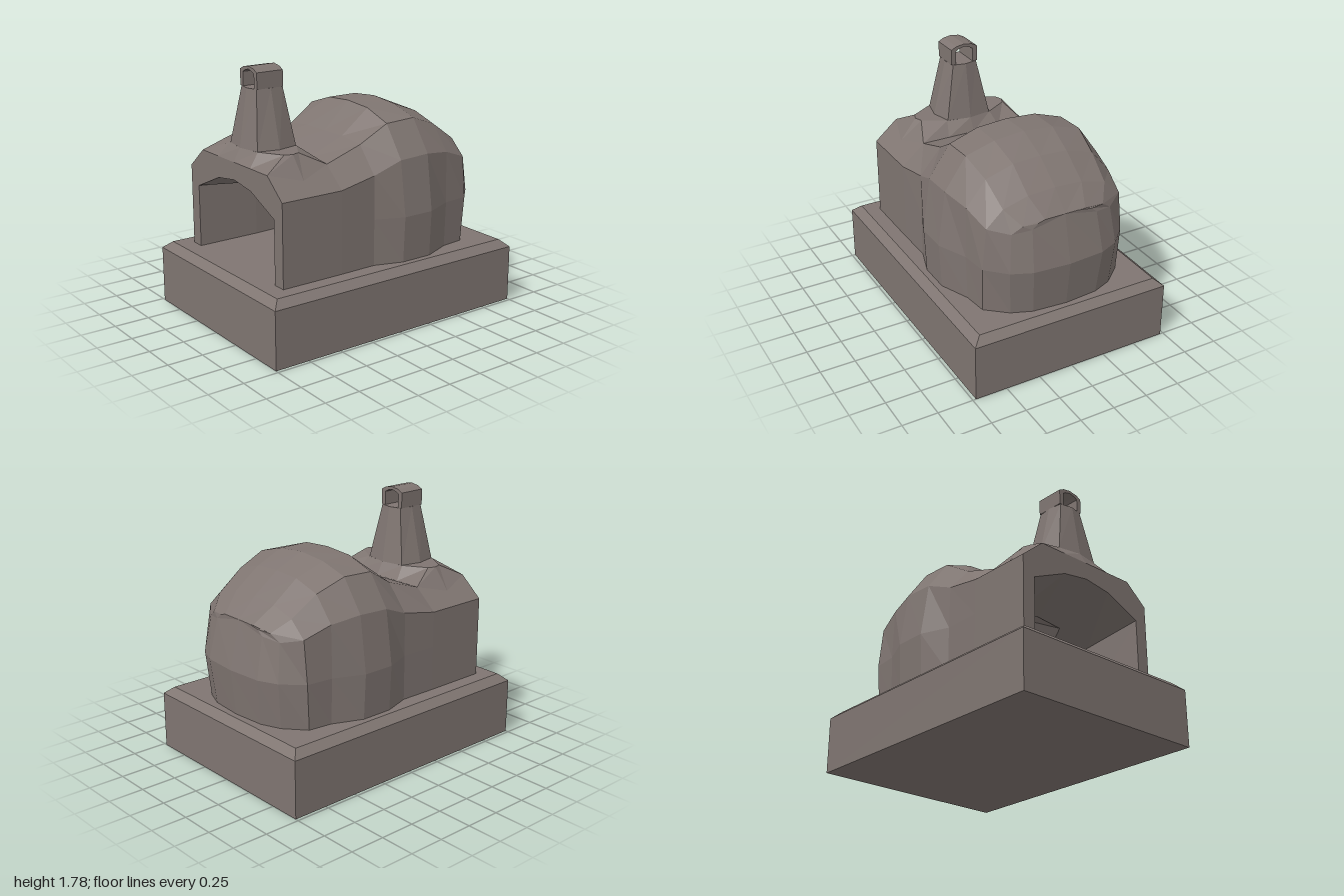
import * as THREE from 'three';

const clay = new THREE.MeshStandardMaterial({ color: 0x7f7571, side: THREE.DoubleSide });
clay.name = 'clay';

// Faceted skin through rows of [x, y, z] points; flip turns it inward
function loft(rows, flip = false) {
  const pos = [];
  for (let i = 0; i < rows.length - 1; i++) {
    for (let j = 0; j < rows[i].length - 1; j++) {
      const a = rows[i][j], b = rows[i][j + 1], c = rows[i + 1][j], d = rows[i + 1][j + 1];
      const tris = flip ? [a, b, c, b, d, c] : [a, c, b, b, c, d];
      tris.forEach((p) => pos.push(...p));
    }
  }
  const g = new THREE.BufferGeometry();
  g.setAttribute('position', new THREE.Float32BufferAttribute(pos, 3));
  g.computeVertexNormals();
  return g;
}

// Half arch (x >= 0, foot to crown) mirrored to a full arch
const mirrorX = (half) => [...half, ...half.slice(0, -1).reverse().map(([x, ...r]) => [-x, ...r])];
const archAt = (z, half) => mirrorX(half.map(([x, y, pz = z]) => [x, y, pz]));

// Quarter ring (from +x to +z) mirrored to a closed ring about z = 0.6
function ring(quarter) {
  const front = mirrorX(quarter);
  const back = front.slice(0, -1).reverse().map(([x, y, z]) => [x, y, -z]);
  return [...front, ...back].map(([x, y, z]) => [x, y, z + 0.6]);
}
const centre = (y, n) => ring(Array.from({ length: n }, () => [0, y, 0]));

function polygon(points) {
  return points.map(([x, y]) => new THREE.Vector2(x, y));
}

export function createModel() {
  const group = new THREE.Group();
  const add = (name, geometry) => {
    const mesh = new THREE.Mesh(geometry, clay);
    mesh.name = name;
    group.add(mesh);
    return mesh;
  };

  // Plinth with a bevelled top
  add('plinth', new THREE.BoxGeometry(1.455, 0.4, 2)).position.y = 0.2;
  const bevel = new THREE.BoxGeometry(1.455, 0.05, 2);
  const bp = bevel.attributes.position;
  for (let i = 0; i < bp.count; i++) {
    if (bp.getY(i) > 0) {
      bp.setX(i, Math.sign(bp.getX(i)) * 0.668);
      bp.setZ(i, Math.sign(bp.getZ(i)) * 0.945);
    }
  }
  bevel.computeVertexNormals();
  add('plinthBevel', bevel).position.y = 0.425;

  // Outer skin: straight porch swelling into a rounded dome
  const porch = [[0.565, 0.45], [0.565, 0.77], [0.565, 1.02], [0.4, 1.16], [0.2, 1.16], [0, 1.16]];
  add('ovenShell', loft([
    archAt(0.83, porch),
    archAt(0.37, porch),
    archAt(0.1, [[0.56, 0.45], [0.56, 0.77], [0.555, 1.07], [0.4, 1.25], [0.2, 1.27], [0, 1.27]]),
    archAt(-0.1, [[0.625, 0.45], [0.64, 0.77], [0.585, 1.15], [0.43, 1.37], [0.22, 1.44], [0, 1.455]]),
    archAt(-0.33, [[0.625, 0.45], [0.64, 0.77], [0.585, 1.16], [0.43, 1.38], [0.22, 1.44], [0, 1.46]]),
    archAt(-0.54, [[0.54, 0.45], [0.55, 0.77], [0.54, 1.13], [0.4, 1.3], [0.2, 1.36], [0, 1.37]]),
    archAt(-0.73, [[0.52, 0.45, -0.71], [0.53, 0.77], [0.5, 1.06], [0.38, 1.17], [0.2, 1.22], [0, 1.23]]),
    archAt(-0.86, [[0.38, 0.45, -0.83], [0.4, 0.77], [0.37, 1.03, -0.82], [0.3, 1.08, -0.84], [0.15, 1.1], [0, 1.1]]),
    archAt(-0.86, [[0.24, 0.45, -0.885], [0.26, 0.77, -0.92], [0.24, 1.05], [0.2, 1.085], [0.1, 1.1], [0, 1.1]]),
    archAt(-0.86, [[0, 0.45, -0.905], [0, 0.77, -0.94], [0, 1.1], [0, 1.1], [0, 1.1], [0, 1.1]]),
  ]));

  // Hollow inside
  const mouth = [[0.47, 0.45], [0.47, 0.89], [0.2, 1.01], [0, 1.04]];
  const chamber = [[0.49, 0.45], [0.49, 0.88], [0.3, 1.18], [0, 1.28]];
  add('ovenChamber', loft([
    archAt(0.83, mouth),
    archAt(0.37, [[0.47, 0.45], [0.47, 0.84], [0.2, 0.91], [0, 0.93]]),
    archAt(-0.1, chamber),
    archAt(-0.33, chamber),
    archAt(-0.54, [[0.39, 0.45], [0.39, 0.82], [0.22, 1.08], [0, 1.16]]),
    archAt(-0.72, [[0.25, 0.45], [0.25, 0.81], [0.15, 0.96], [0, 1.02]]),
    archAt(-0.78, [[0, 0.45], [0, 0.81], [0, 0.96, -0.76], [0, 1.02, -0.72]]),
  ], true));

  // Front wall around the mouth
  const wall = new THREE.Shape(polygon([...mirrorX(porch), ...mirrorX(mouth).reverse()]));
  add('frontWall', new THREE.ShapeGeometry(wall)).position.z = 0.83;

  // Raised collar under the chimney
  add('chimneyCollar', loft([
    ring([[0.47, 1.1, 0], [0.4, 1.16, 0.23], [0.2, 1.16, 0.23], [0, 1.16, 0.23]]),
    ring([[0.35, 1.25, 0], [0.33, 1.25, 0.055], [0.17, 1.25, 0.15], [0, 1.25, 0.18]]),
    centre(1.25, 4),
  ]));

  // Tapering chimney
  add('chimney', loft([
    ring([[0.2, 1.25, 0], [0.165, 1.25, 0.15], [0, 1.25, 0.18]]),
    ring([[0.105, 1.64, 0], [0.09, 1.64, 0.1], [0, 1.64, 0.12]]),
    centre(1.64, 3),
  ]));

  // Arched hood, open front to back
  const hood = new THREE.Shape(polygon([
    ...mirrorX([[0.1, 1.64], [0.1, 1.75], [0.06, 1.77], [0, 1.78]]),
    ...mirrorX([[0.065, 1.64], [0.065, 1.735], [0.04, 1.75], [0, 1.76]]).reverse(),
  ]));
  const hoodGeo = new THREE.ExtrudeGeometry(hood, { depth: 0.2, bevelEnabled: false });
  add('chimneyHood', hoodGeo).position.z = 0.503;

  return group;
}
